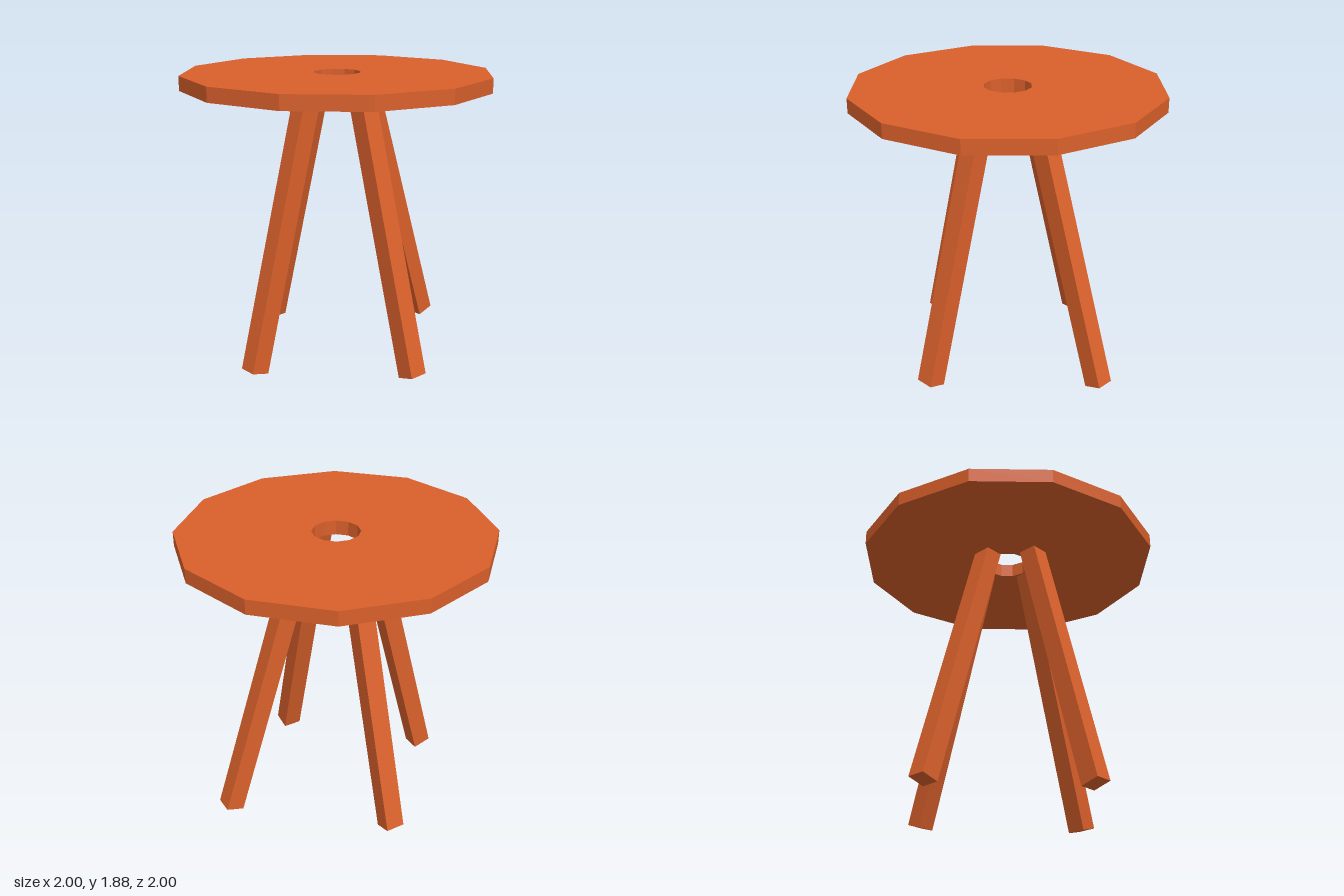
import * as THREE from 'three';

const SEAT_BOTTOM = 1.785, SEAT_TOP = 1.878;

// Regular twelve-sided outline with a corner on the +x axis
function polygon(radius, PathType) {
  const points = [];
  for (let i = 0; i < 12; i++) {
    const a = (i / 12) * Math.PI * 2;
    points.push(new THREE.Vector2(radius * Math.cos(a), radius * Math.sin(a)));
  }
  return new PathType(points);
}

// Square-cut foot, top trimmed level against the seat; leans in the x-y plane
function legGeometry(footX, footY, topX, width, depth) {
  const lean = Math.atan2(footX - topX, SEAT_BOTTOM - footY);
  const geo = new THREE.BoxGeometry(width, 2, depth);
  geo.translate(0, 1, 0).rotateZ(lean).translate(footX, footY, 0);
  const pos = geo.attributes.position;
  for (let i = 0; i < pos.count; i++) {
    const y = pos.getY(i);
    if (y < 1) continue;
    const trimY = SEAT_BOTTOM + 0.003;
    pos.setX(i, pos.getX(i) + (y - trimY) * Math.tan(lean));
    pos.setY(i, trimY);
  }
  geo.computeVertexNormals();
  return geo;
}

export function createModel() {
  const group = new THREE.Group();
  const material = new THREE.MeshStandardMaterial({ color: 0xd9602b, flatShading: true });

  // Seat disc with a centre hole
  const outline = polygon(1, THREE.Shape);
  outline.holes.push(polygon(0.153, THREE.Path));
  const seatGeo = new THREE.ExtrudeGeometry(outline, {
    depth: SEAT_TOP - SEAT_BOTTOM, bevelEnabled: false,
  });
  seatGeo.rotateX(-Math.PI / 2).translate(0, SEAT_BOTTOM, 0);
  const seat = new THREE.Mesh(seatGeo, material);
  seat.name = 'seat';
  group.add(seat);

  // Four splayed legs, each with its own lean: foot x, foot y, top x, width, depth, turn about y
  const legs = [
    ['leftLeg', 0.824, 0.052, 0.249, 0.122, 0.118, 0],
    ['backLeg', 0.705, 0.037, 0.197, 0.119, 0.126, Math.PI / 2],
    ['rightLeg', 0.706, 0.017, 0.239, 0.126, 0.118, Math.PI],
    ['frontLeg', 0.72, 0.017, 0.223, 0.119, 0.126, -Math.PI / 2],
  ];
  for (const [name, footX, footY, topX, width, depth, turn] of legs) {
    const leg = new THREE.Mesh(legGeometry(footX, footY, topX, width, depth), material);
    leg.name = name;
    leg.rotation.y = turn;
    group.add(leg);
  }
  return group;
}
